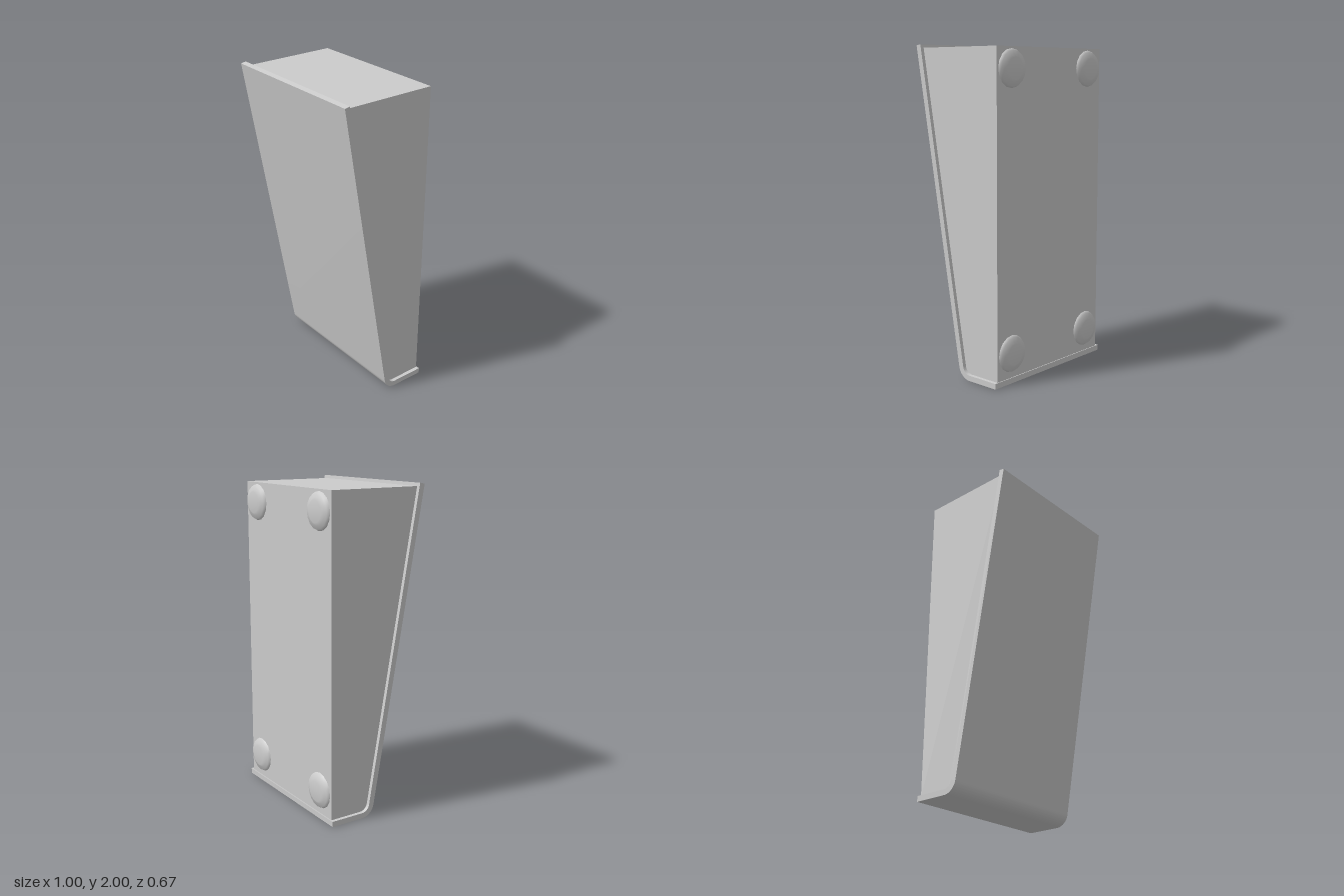
import * as THREE from 'three';
import { toCreasedNormals } from 'three/addons/utils/BufferGeometryUtils.js';

const TILT = THREE.MathUtils.degToRad(10); // lean of the front panel
const THICK = 0.034, BEND = 0.087, INNER_BEND = BEND - THICK;
const BACK = -0.301, BASE_BACK = -0.306;
const OUTER_TOP = { z: 0.333, y: 1.994 };
const INNER_TOP = { z: OUTER_TOP.z - THICK * Math.cos(TILT), y: OUTER_TOP.y + THICK * Math.sin(TILT) };
// Centre of the bend, where the leaning front meets the flat base
const BEND_Z = OUTER_TOP.z - OUTER_TOP.y * Math.tan(TILT) - BEND * Math.tan((Math.PI / 2 - TILT) / 2);

// Side profile (z, y) extruded across the width and centred on x
function extrudeAcross(shape, width) {
  const geo = new THREE.ExtrudeGeometry(shape, { depth: width, bevelEnabled: false, curveSegments: 12 });
  geo.translate(0, 0, -width / 2);
  geo.rotateY(-Math.PI / 2);
  return toCreasedNormals(geo, Math.PI / 6);
}

export function createModel() {
  const group = new THREE.Group();
  const material = new THREE.MeshStandardMaterial({ color: 0xcccccc });
  const add = (name, geometry) => {
    const mesh = new THREE.Mesh(geometry, material);
    mesh.name = name;
    group.add(mesh);
    return mesh;
  };

  // Bent sheet: flat base, rounded bend, leaning front
  const panel = new THREE.Shape();
  panel.moveTo(BASE_BACK, 0);
  panel.lineTo(BEND_Z, 0);
  panel.absarc(BEND_Z, BEND, BEND, -Math.PI / 2, -TILT, false);
  panel.lineTo(OUTER_TOP.z, OUTER_TOP.y);
  panel.lineTo(INNER_TOP.z, INNER_TOP.y);
  panel.absarc(BEND_Z, BEND, INNER_BEND, -TILT, -Math.PI / 2, true);
  panel.lineTo(BASE_BACK, THICK);
  panel.closePath();
  add('frontPanel', extrudeAcross(panel, 1));

  // Wedge-shaped housing filling the sheet
  const bodyTop = 1.98;
  const body = new THREE.Shape();
  body.moveTo(BACK, THICK);
  body.lineTo(BEND_Z, THICK);
  body.absarc(BEND_Z, BEND, INNER_BEND, -Math.PI / 2, -TILT, false);
  body.lineTo(INNER_TOP.z - (INNER_TOP.y - bodyTop) * Math.tan(TILT), bodyTop);
  body.lineTo(BACK, bodyTop);
  body.closePath();
  add('housing', extrudeAcross(body, 0.954));

  // Stepped round feet on the back
  const profile = [[0.112, 0], [0.102, 0.017], [0.079, 0.019], [0.064, 0.032], [0, 0.032]]
    .map(([r, h]) => new THREE.Vector2(r, h));
  const footGeo = new THREE.LatheGeometry(profile, 16);
  footGeo.rotateX(-Math.PI / 2);
  for (const x of [-0.352, 0.352]) {
    for (const y of [0.183, 1.857]) add('foot', footGeo).position.set(x, y, BACK);
  }
  return group;
}
